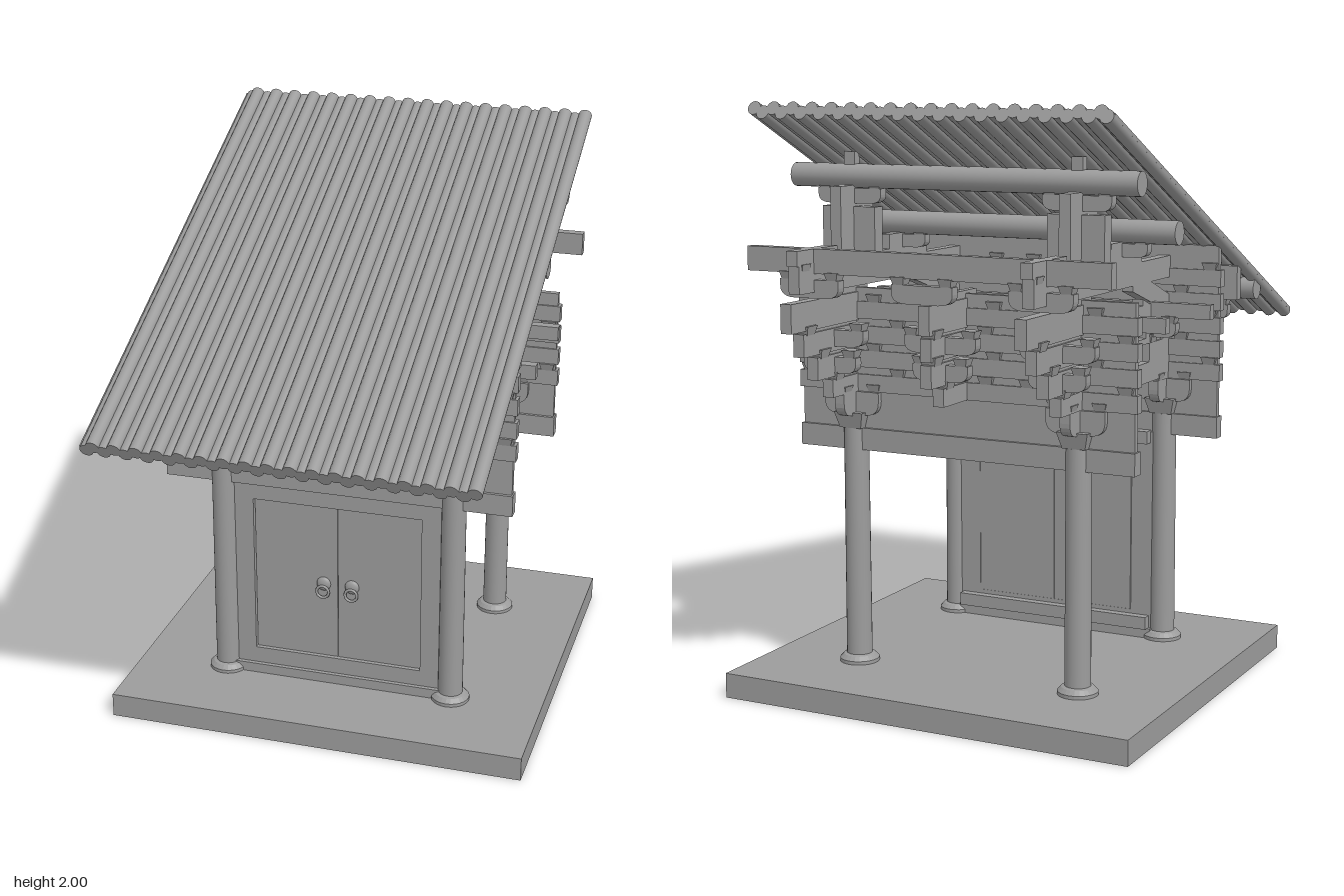
import * as THREE from 'three';

const GREY = 0x9c9c9c;
const mat = new THREE.MeshStandardMaterial({ color: GREY, flatShading: true });
const smooth = new THREE.MeshStandardMaterial({ color: GREY });

export function createModel() {
  const root = new THREE.Group();
  const COL = 0.415, FRONT = 0.21, BACK = -0.505;

  const add = (name, geo, x, y, z, m = mat) => {
    const mesh = new THREE.Mesh(geo, m);
    mesh.name = name;
    mesh.position.set(x, y, z);
    root.add(mesh);
    return mesh;
  };
  // Box given by its limits
  const box = (name, x0, x1, y0, y1, z0, z1) =>
    add(name, new THREE.BoxGeometry(x1 - x0, y1 - y0, z1 - z0), (x0 + x1) / 2, (y0 + y1) / 2, (z0 + z1) / 2);
  const xBeam = (name, z, y0, y1, half, t = 0.036) => box(name, -half, half, y0, y1, z - t / 2, z + t / 2);
  const zBeam = (name, x, y0, y1, z0, z1, t = 0.04) => box(name, x - t / 2, x + t / 2, y0, y1, z0, z1);
  // Tapered bearing block, y is its bottom
  const block = (x, y, z, s = 0.055, h = 0.03) => {
    const g = new THREE.CylinderGeometry(s * 0.707, s * 0.52, h, 4);
    g.rotateY(Math.PI / 4);
    add('bearingBlock', g, x, y + h / 2, z);
  };
  // Plate drawn in (z, y) and extruded along x
  const plate = (name, shape, x, t = 0.04) => {
    const g = new THREE.ExtrudeGeometry(shape, { depth: t, bevelEnabled: false, curveSegments: 8 });
    g.rotateY(-Math.PI / 2);
    add(name, g, x + t / 2, 0, 0);
  };
  // Bracket arm with rounded lower ends and a block on each tip
  const arm = (x, y, z, half, h, alongX, t = 0.036) => {
    const r = Math.min(half * 0.5, h * 0.9);
    const s = new THREE.Shape();
    s.moveTo(-half, h);
    s.lineTo(-half, h * 0.6);
    s.quadraticCurveTo(-half, 0, -half + r, 0);
    s.lineTo(half - r, 0);
    s.quadraticCurveTo(half, 0, half, h * 0.6);
    s.lineTo(half, h);
    const g = new THREE.ExtrudeGeometry(s, { depth: t, bevelEnabled: false, curveSegments: 6 });
    g.translate(0, 0, -t / 2);
    if (!alongX) g.rotateY(-Math.PI / 2);
    add('bracketArm', g, x, y, z);
    for (const e of [-half + 0.025, half - 0.025])
      block(x + (alongX ? e : 0), y + h, z + (alongX ? 0 : e), 0.05, 0.025);
  };

  // Platform
  box('platform', -0.74, 0.74, 0, 0.085, -0.84, 0.53);

  // Columns on round stone feet
  const foot = [[0, 0], [0.068, 0], [0.068, 0.012], [0.055, 0.026], [0.043, 0.03], [0, 0.03]]
    .map(p => new THREE.Vector2(...p));
  for (const x of [-COL, COL]) for (const z of [FRONT, BACK]) {
    add('column', new THREE.CylinderGeometry(0.042, 0.044, 0.82, 24), x, 0.495, z, smooth);
    add('columnFoot', new THREE.LatheGeometry(foot, 24), x, 0.085, z);
    block(x, 0.905, z, 0.11, 0.055);
    arm(x, 0.95, z, 0.105, 0.08, true, 0.06);
    arm(x, 0.95, z, 0.105, 0.08, false);
  }

  // Stacked beam walls over the front and back columns
  for (const [z, top] of [[FRONT, 1.5], [BACK, 1.38]]) {
    xBeam('lintel', z, 0.83, 0.905, 0.62, 0.045);
    xBeam('wallBoard', z, 0.905, top, 0.615, 0.022);
    for (let y = 1.03; y + 0.06 <= top; y += 0.082) xBeam('wallBeam', z, y, y + 0.058, 0.625);
    for (let row = 0; row < (top > 1.4 ? 5 : 4); row++) {
      const xs = row % 2 ? [0.33, 0.48, 0.12] : [0.09, 0.24, 0.585];
      for (const x of xs) for (const s of [-1, 1]) block(s * x, 1.087 + row * 0.082, z, 0.055, 0.026);
    }
  }

  // Door: board, frame, leaves, sill, back rails and ring knockers
  box('doorWall', -0.385, 0.385, 0.085, 0.84, 0.185, 0.2);
  box('doorHead', -0.385, 0.385, 0.77, 0.835, 0.18, 0.22);
  box('doorFootRail', -0.305, 0.305, 0.12, 0.18, 0.18, 0.22);
  box('doorSill', -0.385, 0.385, 0.085, 0.12, 0.165, 0.235);
  for (const y of [0.12, 0.795]) box('doorBackRail', -0.375, 0.375, y, y + 0.045, 0.148, 0.185);
  for (const s of [-1, 1]) {
    box('doorJamb', s * 0.345 - 0.04, s * 0.345 + 0.04, 0.12, 0.83, 0.18, 0.22);
    box('doorLeaf', s * 0.152 - 0.151, s * 0.152 + 0.151, 0.181, 0.768, 0.178, 0.206);
    const boss = new THREE.SphereGeometry(0.026, 16, 10);
    boss.scale(1, 1, 0.5);
    add('knockerBoss', boss, s * 0.052, 0.468, 0.208, smooth);
    add('knockerRing', new THREE.TorusGeometry(0.022, 0.005, 8, 20), s * 0.052, 0.442, 0.222, smooth);
  }

  // Slanting lever arm with a pointed front tip
  const lever = (x, tipZ, tipY, len) => {
    const k = 0.36, s = new THREE.Shape();
    s.moveTo(tipZ, tipY);
    s.lineTo(tipZ - 0.04, tipY + 0.085);
    s.lineTo(tipZ - len, tipY + 0.085 + (len - 0.04) * k);
    s.lineTo(tipZ - len, tipY + 0.01 + (len - 0.04) * k);
    s.lineTo(tipZ - 0.13, tipY + 0.065);
    plate('leverArm', s, x);
  };

  // Bracket sets over the columns and the middle of the span
  for (const x of [-COL, 0, COL]) {
    const mid = x === 0;
    // Front steps and lever arms
    zBeam('frontBracket', x, 1.04, 1.1, 0.06, 0.36);
    zBeam('frontBracket', x, 1.11, 1.175, 0.02, 0.41);
    zBeam('frontBracketCore', x, 1.04, 1.23, 0.03, 0.36, 0.024);
    zBeam('frontBracketCore', x, 1.23, 1.3, 0.03, 0.3, 0.024);
    lever(x, 0.56, 1.045, 0.6);
    lever(x, 0.625, 1.1, 0.75);
    zBeam('eaveBracket', x, 1.2, 1.255, 0.39, 0.63);
    block(x, 1.08, 0.385, 0.06);
    arm(x, 1.1, 0.385, 0.105, 0.07, true);
    arm(x, 1.21, 0.385, 0.13, 0.06, true);
    arm(x, 1.2, 0.545, 0.11, 0.055, true);
    block(x, 1.175, 0.545, 0.06);
    // Back steps, each longer than the one below
    [[1.03, 1.09, -0.68], [1.1, 1.175, -0.77], [1.185, 1.26, -0.85]].forEach(([y0, y1, z], i) => {
      const end = mid ? Math.max(z, -0.76) : z;
      zBeam('backBracket', x, y0, y1, end, -0.36 + i * 0.04);
      zBeam('backBracketCore', x, y1 - 0.01, y1 + 0.03, end + 0.07, -0.44, 0.024);
      block(x, y1 - 0.005, end + 0.04, 0.06);
    });
    arm(x, 1.11, -0.65, 0.1, 0.055, true);
    arm(x, 1.2, -0.65, 0.13, 0.055, true);
    zBeam('tailBeam', x, 1.27, 1.365, mid ? -0.77 : -0.92, -0.44);
    zBeam('tailCore', x, 1.36, 1.39, -0.74, -0.44, 0.024);
    arm(x, 1.37, -0.765, 0.11, 0.06, true);
    // Inner arms under the two ceiling beams
    for (const z of [0.05, -0.34]) {
      block(x, 1.175, z, 0.06);
      arm(x, 1.195, z, 0.11, 0.05, true);
    }
    if (mid) continue;

    // Cross frame joining front and back columns
    const s = new THREE.Shape();
    s.moveTo(0.21, 1.03);
    s.lineTo(0.14, 1.03);
    s.quadraticCurveTo(0.12, 1.04, 0.1, 1.04);
    s.lineTo(-0.39, 1.04);
    s.quadraticCurveTo(-0.42, 1.04, -0.43, 1.03);
    s.lineTo(-0.505, 1.03);
    s.lineTo(-0.505, 1.18);
    s.lineTo(-0.45, 1.17);
    s.quadraticCurveTo(-0.41, 1.11, -0.37, 1.11);
    s.lineTo(0.08, 1.11);
    s.quadraticCurveTo(0.12, 1.13, 0.14, 1.18);
    s.lineTo(0.21, 1.18);
    plate('crescentBeam', s, x);
    zBeam('tieBeam', x, 1.19, 1.26, -0.01, 0.21);
    zBeam('thinTie', x, 1.175, 1.195, -0.505, 0.05);
    zBeam('middleBeam', x, 1.265, 1.31, -0.505, 0.21);
    zBeam('roofBeam', x, 1.385, 1.46, -0.68, 0.27);
    zBeam('roofBeamCap', x, 1.46, 1.49, -0.62, -0.05);
    zBeam('backTopBeam', x, 1.39, 1.48, -0.87, -0.5);
    zBeam('backTopCap', x, 1.48, 1.53, -0.88, -0.64);
    block(x, 1.455, -0.83, 0.05);
    // Posts and pads that carry the purlins
    zBeam('purlinPost', x, 1.49, 1.72, -0.615, -0.41);
    box('postCrossArm', x - 0.1, x + 0.1, 1.5, 1.65, -0.535, -0.485);
    arm(x, 1.66, -0.51, 0.12, 0.05, true);
    zBeam('saddle', x, 1.77, 1.83, -0.525, -0.495);
    zBeam('purlinPad', x, 1.49, 1.54, -0.305, -0.095);
    arm(x, 1.49, -0.2, 0.11, 0.045, true);
  }

  // Long beams and round purlins under the roof
  xBeam('eaveBeam', 0.385, 1.295, 1.415, 0.62);
  for (const z of [0.05, -0.34]) xBeam('ceilingBeam', z, 1.265, 1.315, 0.65);
  xBeam('backEaveBeam', -0.765, 1.45, 1.53, 0.65);
  for (const [z, y] of [[0.545, 1.32], [-0.2, 1.575], [-0.51, 1.75]]) {
    const g = new THREE.CylinderGeometry(0.04, 0.04, 1.26, 20);
    g.rotateZ(Math.PI / 2);
    add('purlin', g, 0, y, z, smooth);
  }

  // Roof: a thin deck with round cover tiles above and pan tiles bulging below
  const LENGTH = 1.81;
  const roof = new THREE.Group();
  roof.name = 'roof';
  roof.position.set(0, 1.94, -0.757);
  roof.rotation.x = THREE.MathUtils.degToRad(24.9);
  root.add(roof);
  const roofPart = (name, geo, x, y) => {
    const m = new THREE.Mesh(geo, smooth);
    m.name = name;
    m.position.set(x, y, LENGTH / 2);
    roof.add(m);
  };
  const tile = new THREE.CylinderGeometry(0.0235, 0.0235, LENGTH, 16);
  tile.rotateX(Math.PI / 2);
  roofPart('roofDeck', new THREE.BoxGeometry(1.295, 0.012, LENGTH - 0.01), 0.009, 0.03);
  for (let i = 0; i < 18; i++) {
    const x = -0.593 + i * 0.0725;
    roofPart('coverTile', tile, x, 0.038);
    roofPart('panTile', tile, i ? x - 0.036 : -0.615, 0.0235);
  }
  return root;
}
